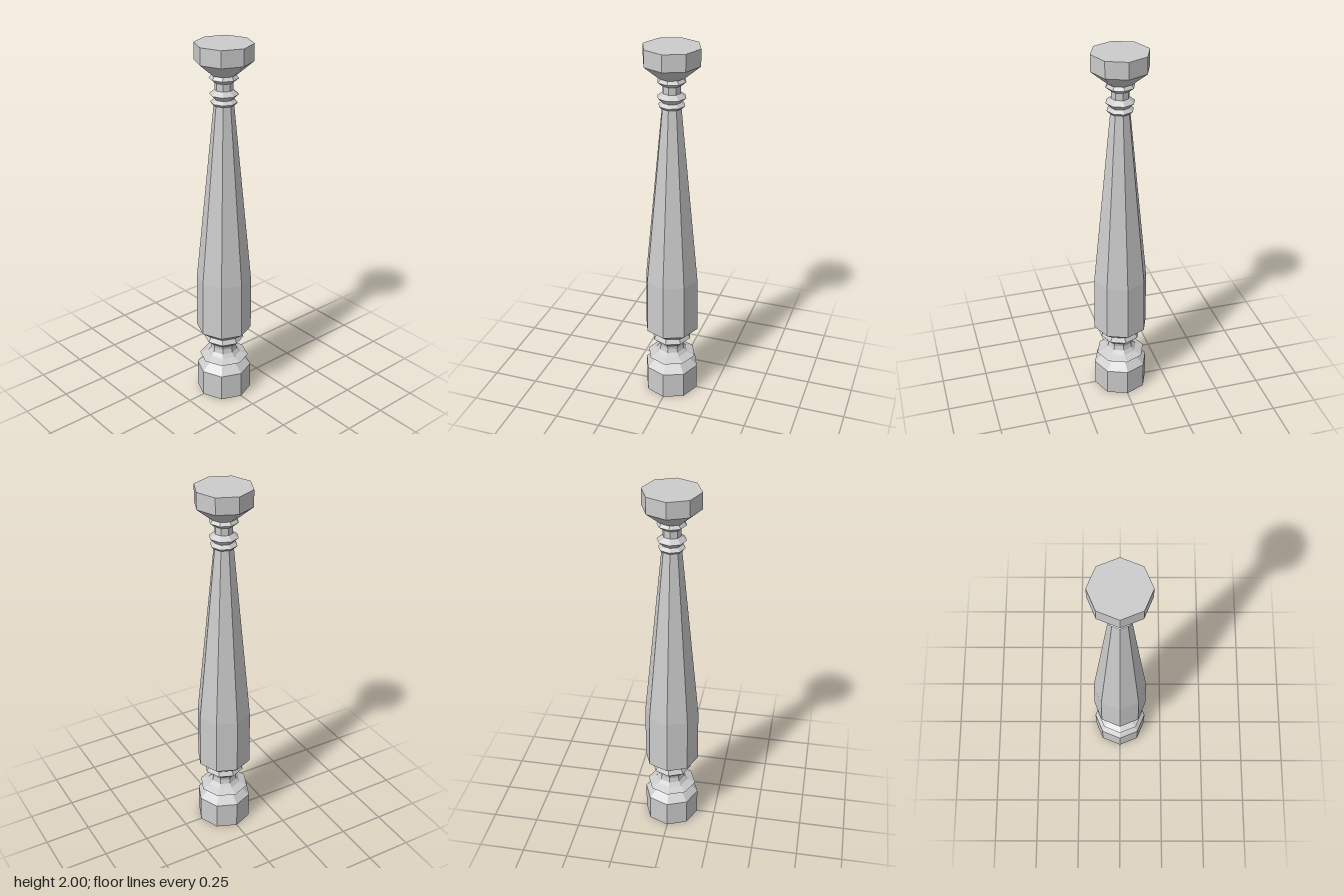
import * as THREE from 'three';

const material = new THREE.MeshStandardMaterial({ color: 0xcccccc, flatShading: true });

// Eight-sided turned section; profile is [radius, height] from bottom to top
function turned(name, profile) {
  const points = profile.map(([r, y]) => new THREE.Vector2(r, y));
  const mesh = new THREE.Mesh(new THREE.LatheGeometry(points, 8), material);
  mesh.name = name;
  return mesh;
}

export function createModel() {
  const baluster = new THREE.Group();
  baluster.name = 'baluster';

  baluster.add(
    // Block at the foot, closed below, with a chamfered shoulder
    turned('base', [[0, 0], [0.15, 0], [0.15, 0.15], [0.105, 0.19]]),
    // Sharp ring and hollow neck above the base
    turned('lowerRing', [[0.105, 0.19], [0.1, 0.197], [0.135, 0.213], [0.09, 0.23]]),
    turned('lowerNeck', [[0.09, 0.23], [0.073, 0.25], [0.067, 0.275], [0.073, 0.3]]),
    turned('lowerCollar', [[0.073, 0.3], [0.083, 0.303], [0.11, 0.328], [0.095, 0.353]]),
    // Long tapering body
    turned('shaft', [[0.095, 0.353], [0.15, 0.397], [0.147, 0.71], [0.052, 1.685]]),
    // Pair of thin rings, the upper neck and its collar
    turned('shaftRing', [[0.052, 1.685], [0.06, 1.688], [0.07, 1.7], [0.05, 1.716]]),
    turned('neckRing', [[0.05, 1.716], [0.056, 1.724], [0.076, 1.742], [0.052, 1.76]]),
    turned('upperNeck', [[0.052, 1.76], [0.047, 1.764], [0.047, 1.802]]),
    turned('upperCollar', [[0.047, 1.802], [0.054, 1.806], [0.076, 1.824], [0.06, 1.842]]),
    // Flared block at the head, closed above
    turned('capital', [[0.06, 1.842], [0.068, 1.843], [0.15, 1.912], [0.15, 2], [0, 2]])
  );

  return baluster;
}
